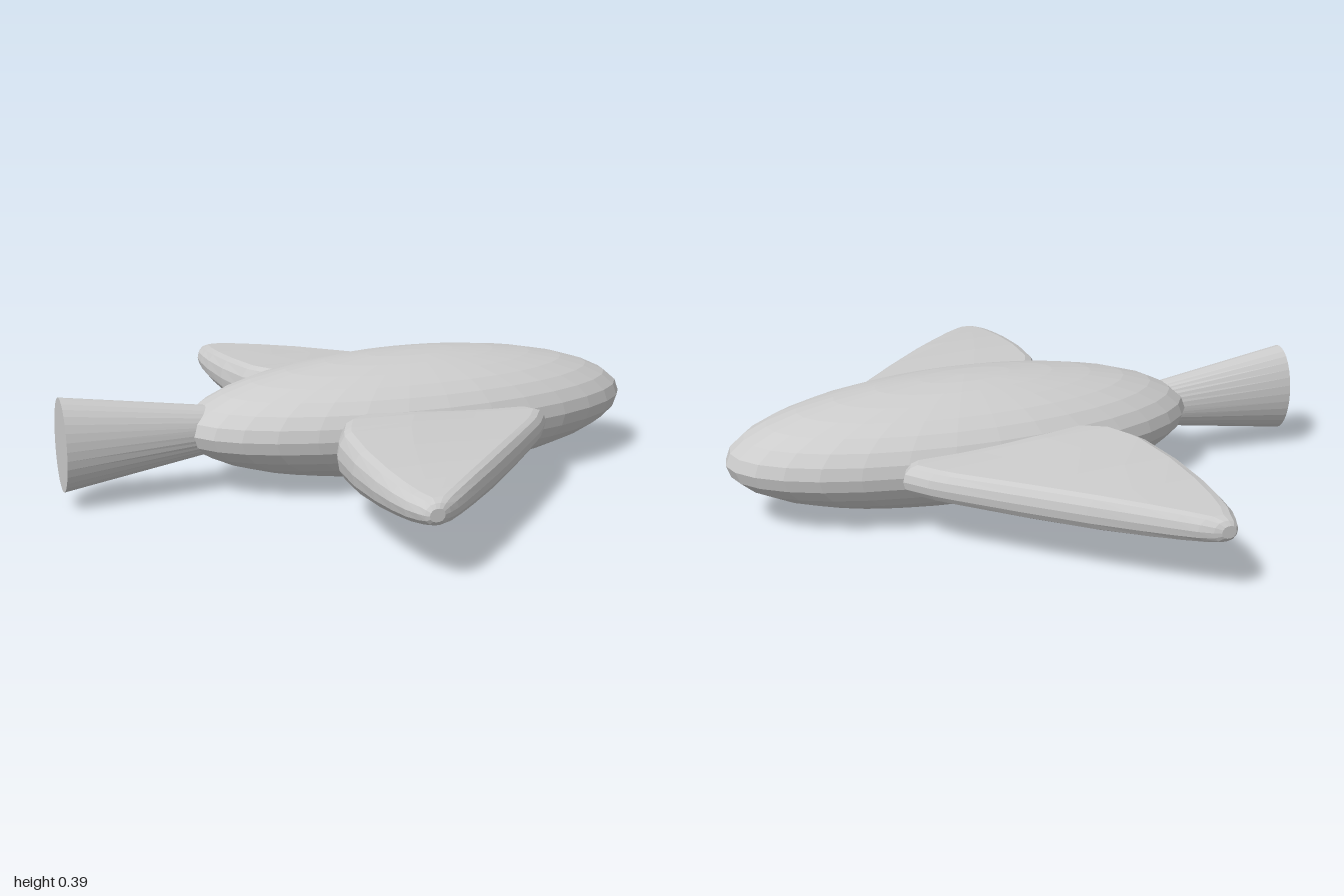
import * as THREE from 'three';

const grey = () => new THREE.MeshStandardMaterial({ color: 0xcccccc, flatShading: true });

function named(name, geometry) {
  const mesh = new THREE.Mesh(geometry, grey());
  mesh.name = name;
  return mesh;
}

// Skin a stack of rings (counter-clockwise seen from +z) and close both ends
function loft(rings) {
  const n = rings[0].length;
  const points = rings.flat();
  const index = [];
  for (let i = 0; i < rings.length - 1; i++) {
    for (let j = 0; j < n; j++) {
      const a = i * n + j, b = i * n + (j + 1) % n;
      index.push(a, b, b + n, a, b + n, a + n);
    }
  }
  const last = (rings.length - 1) * n;
  for (const [start, flip] of [[0, true], [last, false]]) {
    const centre = new THREE.Vector3();
    for (let j = 0; j < n; j++) centre.addScaledVector(points[start + j], 1 / n);
    const c = points.push(centre) - 1;
    for (let j = 0; j < n; j++) {
      const a = start + j, b = start + (j + 1) % n;
      index.push(c, flip ? b : a, flip ? a : b);
    }
  }
  const geometry = new THREE.BufferGeometry().setFromPoints(points);
  geometry.setIndex(index);
  geometry.computeVertexNormals();
  return geometry;
}

// Thick blade section with rounded leading (+x) and trailing edges
function wingRing([z, rear, front, half]) {
  const edge = Math.min(0.045, (front - rear) * 0.4);
  const ring = [];
  const thickness = (x) => half * (1 - 0.42 * THREE.MathUtils.smoothstep(x, -0.15, 0.55));
  const add = (x, s) => ring.push(new THREE.Vector3(x, s * thickness(x), z));
  const steps = 6;
  for (let k = 0; k <= steps; k++) {
    const a = -Math.PI / 2 + Math.PI * k / steps;
    add(front - edge + edge * Math.cos(a), Math.sin(a));
  }
  const span = front - rear - 2 * edge;
  for (const t of [0.67, 0.33]) add(rear + edge + span * t, 1);
  for (let k = 0; k <= steps; k++) {
    const a = Math.PI / 2 + Math.PI * k / steps;
    add(rear + edge + edge * Math.cos(a), Math.sin(a));
  }
  for (const t of [0.33, 0.67]) add(rear + edge + span * t, -1);
  return ring;
}

function wingGeometry() {
  // z, trailing x, leading x, half thickness
  const sections = [
    [0.22, -0.06, 0.44, 0.07],
    [0.295, -0.15, 0.49, 0.077],
    [0.33, -0.195, 0.505, 0.079],
    [0.4, -0.23, 0.455, 0.077],
    [0.44, -0.245, 0.42, 0.075],
    [0.6, -0.265, 0.265, 0.067],
    [0.75, -0.268, 0.115, 0.057],
    [0.85, -0.262, 0.01, 0.049],
    [0.92, -0.252, -0.065, 0.043],
    [0.965, -0.237, -0.115, 0.038],
    [0.99, -0.225, -0.15, 0.03],
    [1.0, -0.215, -0.17, 0.018],
  ];
  return loft(sections.map(wingRing));
}

// Tail: a cone that flares from a round root into a tall oval end
function tailGeometry() {
  const length = 0.555;
  const geometry = new THREE.CylinderGeometry(1, 1, length, 32);
  geometry.rotateZ(Math.PI / 2);
  const p = geometry.attributes.position;
  for (let i = 0; i < p.count; i++) {
    const t = 0.5 - p.getX(i) / length;
    p.setY(i, p.getY(i) * THREE.MathUtils.lerp(0.06, 0.146, t));
    p.setZ(i, p.getZ(i) * THREE.MathUtils.lerp(0.056, 0.086, t));
  }
  geometry.computeVertexNormals();
  return geometry;
}

export function createModel() {
  const model = new THREE.Group();
  model.name = 'glider';

  // Ellipsoid body
  const bodyGeometry = new THREE.SphereGeometry(1, 32, 16);
  bodyGeometry.scale(0.765, 0.194, 0.325);
  const body = named('body', bodyGeometry);
  body.position.set(0.187, 0.194, 0);
  model.add(body);

  // Swept wings; a half turn about x gives the opposite side
  const wing = wingGeometry();
  for (const [name, turn] of [['frontWing', 0], ['backWing', Math.PI]]) {
    const mesh = named(name, wing);
    mesh.position.y = 0.197;
    mesh.rotation.x = turn;
    model.add(mesh);
  }

  // Flared tail
  const tail = named('tail', tailGeometry());
  tail.position.set(-0.6775, 0.197, 0);
  model.add(tail);

  return model;
}
